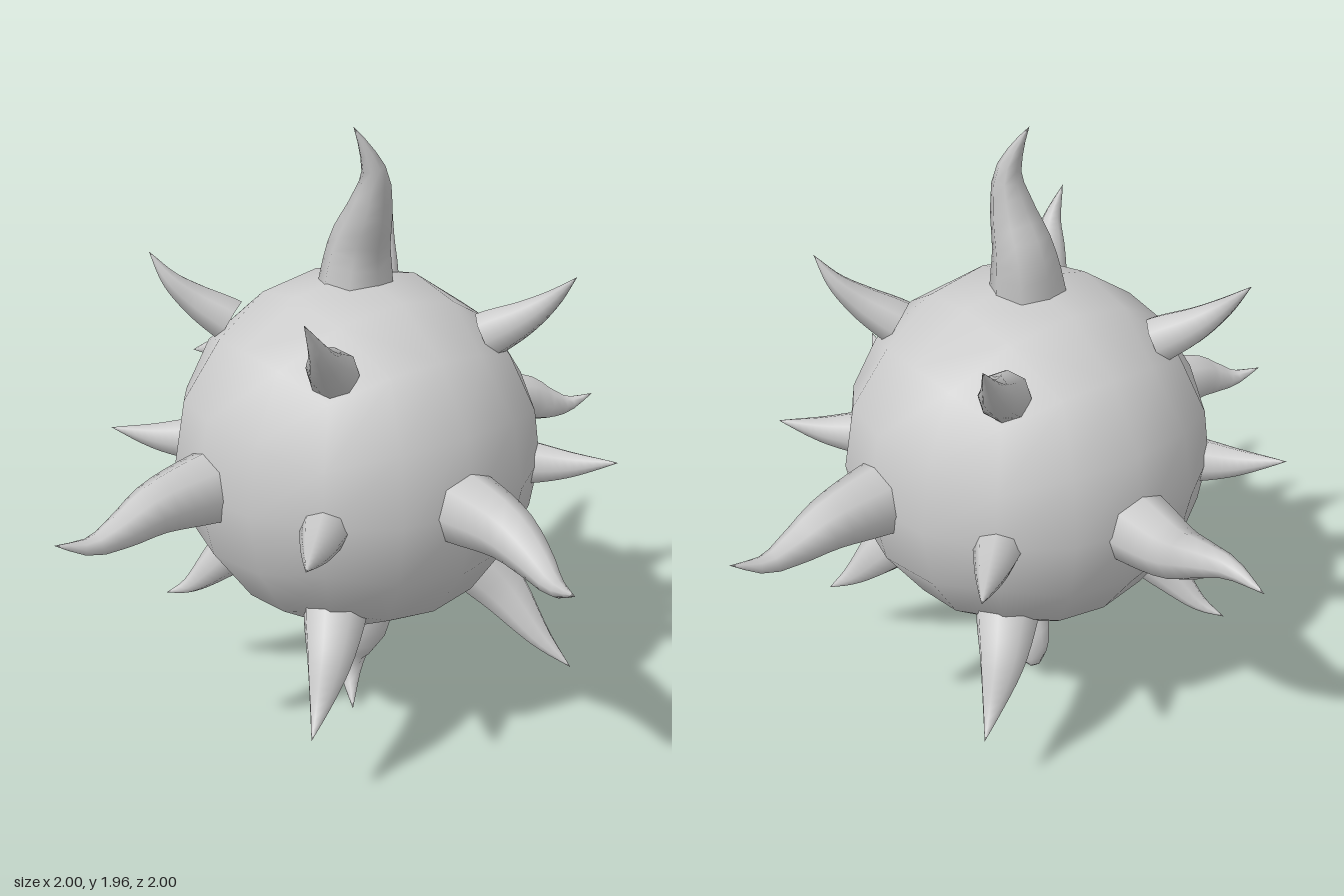
import * as THREE from 'three';
import { mergeVertices } from 'three/addons/utils/BufferGeometryUtils.js';

const CENTRE_Y = 0.965, RADIUS = 0.567;

// Round body: a subdivided cube pushed out to a sphere
function bodyGeometry() {
  let geo = new THREE.BoxGeometry(2, 2, 2, 4, 4, 4);
  geo.deleteAttribute('uv');
  geo.deleteAttribute('normal');
  geo = mergeVertices(geo);
  const pos = geo.attributes.position, v = new THREE.Vector3();
  const even = (c) => Math.tan(c * Math.PI / 4);
  for (let i = 0; i < pos.count; i++) {
    v.fromBufferAttribute(pos, i);
    v.set(even(v.x), even(v.y), even(v.z)).setLength(RADIUS);
    pos.setXYZ(i, v.x, v.y, v.z);
  }
  geo.computeVertexNormals();
  return geo;
}

// Curved, eight-sided horn that tapers along its path
function hornGeometry(points, baseRadius) {
  const rings = 12, sides = 8;
  const curve = new THREE.CatmullRomCurve3(points.map((p) => new THREE.Vector3(...p)));
  const geo = new THREE.TubeGeometry(curve, rings, 1, sides);
  const pos = geo.attributes.position, v = new THREE.Vector3();
  for (let i = 0; i <= rings; i++) {
    const u = i / rings, centre = curve.getPointAt(u);
    const r = baseRadius * (1 - Math.pow(u, 1.3));
    for (let j = 0; j <= sides; j++) {
      const k = i * (sides + 1) + j;
      v.fromBufferAttribute(pos, k).sub(centre).multiplyScalar(r).add(centre);
      pos.setXYZ(k, v.x, v.y, v.z);
    }
  }
  return geo;
}

export function createModel() {
  const model = new THREE.Group();
  model.name = 'spikedBall';
  const material = new THREE.MeshStandardMaterial({ color: 0xcccccc });
  const add = (name, geo) => {
    const mesh = new THREE.Mesh(geo, material);
    mesh.name = name;
    model.add(mesh);
    return mesh;
  };

  add('body', bodyGeometry()).position.y = CENTRE_Y;

  // Large S-shaped horns on the six axes
  const axisHorns = {
    topHorn: [[-0.01, 1.47, 0], [0, 1.61, -0.01], [0.042, 1.72, -0.015], [0.067, 1.82, -0.015], [0.055, 1.9, 0.01], [0.035, 1.96, 0.037]],
    bottomHorn: [[0.01, 0.46, 0], [0.012, 0.31, -0.005], [-0.042, 0.2, -0.008], [-0.04, 0.11, 0], [0.028, 0, 0.037]],
    leftHorn: [[0.5, 0.97, 0], [0.7, 0.965, -0.005], [0.8, 0.925, -0.01], [0.9, 0.895, 0.005], [1, 0.922, 0.03]],
    rightHorn: [[-0.5, 0.95, 0], [-0.7, 0.965, -0.005], [-0.8, 1.005, -0.01], [-0.89, 1.025, 0.005], [-1, 0.995, 0.03]],
    frontHorn: [[0, 0.975, 0.5], [0.005, 0.96, 0.7], [0.005, 0.925, 0.8], [-0.005, 0.895, 0.9], [-0.033, 0.915, 1]],
    backHorn: [[0, 0.975, -0.5], [-0.005, 0.96, -0.7], [0.005, 0.92, -0.8], [0.01, 0.895, -0.9], [0.033, 0.92, -1]],
  };
  for (const [name, points] of Object.entries(axisHorns)) add(name, hornGeometry(points, 0.115));

  // Lower corner horns: side, depth, base radius, tip
  const lower = [
    [1, 1, 0.1, [0.41, 0.29, 0.455]],
    [1, -1, 0.105, [0.54, 0.255, -0.465]],
    [-1, 1, 0.085, [-0.485, 0.355, 0.455]],
    [-1, -1, 0.1, [-0.41, 0.275, -0.46]],
  ];
  for (const [sx, sz, r, tip] of lower) {
    const midX = 0.6 * Math.abs(tip[0]) + 0.13, midZ = 0.6 * Math.abs(tip[2]) + 0.13;
    add('lowerHorn', hornGeometry([
      [0.27 * sx, 0.6, 0.27 * sz],
      [0.335 * sx, 0.5, 0.335 * sz],
      [midX * sx, 0.52 * tip[1] + 0.21, midZ * sz],
      tip,
    ], r));
  }

  // Small corner horns above, curling upwards at the tip
  const upperTips = [[0.425, 1.575, 0.465], [0.465, 1.55, -0.44], [-0.47, 1.555, 0.44], [-0.455, 1.575, -0.47]];
  for (const tip of upperTips) {
    const sx = Math.sign(tip[0]), sz = Math.sign(tip[2]);
    add('upperHorn', hornGeometry([
      [0.275 * sx, 1.355, 0.275 * sz],
      [0.35 * sx, 1.415, 0.35 * sz],
      [0.405 * sx, 1.475, 0.405 * sz],
      tip,
    ], 0.073));
  }

  // Small, nearly straight horns around the middle
  for (const sx of [1, -1]) for (const sz of [1, -1]) {
    add('middleHorn', hornGeometry([
      [0.36 * sx, 0.952, 0.36 * sz],
      [0.46 * sx, 0.952, 0.46 * sz],
      [0.57 * sx, 0.97, 0.567 * sz],
    ], 0.073));
  }
  return model;
}
